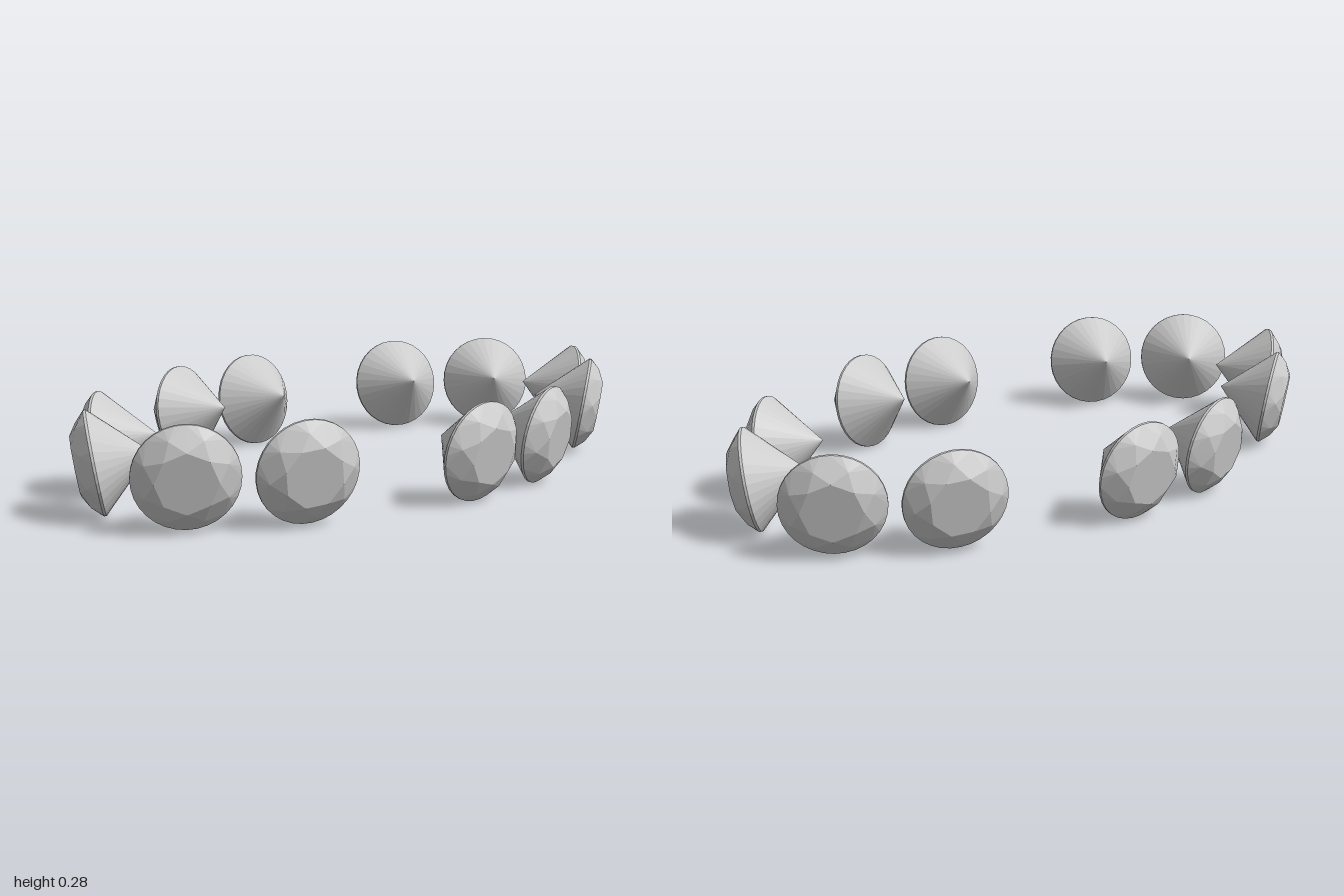
import * as THREE from 'three';
import { ConvexGeometry } from 'three/addons/geometries/ConvexGeometry.js';

// Ring of points around the gem axis (local +y points out through the table)
function ring(count, radius, y, offset = 0) {
  return Array.from({ length: count }, (_, i) => {
    const a = ((i + offset) / count) * Math.PI * 2;
    return new THREE.Vector3(radius * Math.cos(a), y, radius * Math.sin(a));
  });
}

// Round brilliant cut: octagonal table, star and kite facets, thin girdle, pointed pavilion
function gemGeometry() {
  return new ConvexGeometry([
    ...ring(8, 0.08, 0.05),
    ...ring(8, 0.112, 0.031, 0.5),
    ...ring(32, 0.137, 0.004),
    ...ring(32, 0.137, -0.003),
    new THREE.Vector3(0, -0.144, 0),
  ]);
}

export function createModel() {
  const group = new THREE.Group();
  group.name = 'gemRing';
  const geometry = gemGeometry();
  const material = new THREE.MeshStandardMaterial({ color: 0xcccccc, flatShading: true });
  const tilt = THREE.MathUtils.degToRad(10);
  const up = new THREE.Vector3(0, 1, 0);

  // One quarter of the oval: girdle centre and the direction the table faces
  const quarter = [
    { name: 'sideGem', at: [0.522, 0.1385, 0.158], yaw: 8.5 },
    { name: 'cornerGem', at: [0.347, 0.1435, 0.666], yaw: 30 },
    { name: 'endGem', at: [0.154, 0.1435, 0.9], yaw: 45 },
  ];

  // Mirror the quarter to all four sides; every gem faces outward and slightly down
  for (const { name, at, yaw } of quarter) {
    const a = THREE.MathUtils.degToRad(yaw);
    for (const sx of [1, -1]) {
      for (const sz of [1, -1]) {
        const gem = new THREE.Mesh(geometry, material);
        gem.name = `${name}${sz > 0 ? 'Front' : 'Back'}${sx > 0 ? 'Left' : 'Right'}`;
        gem.position.set(sx * at[0], at[1], sz * at[2]);
        const outward = new THREE.Vector3(
          sx * Math.cos(tilt) * Math.cos(a),
          -Math.sin(tilt),
          sz * Math.cos(tilt) * Math.sin(a)
        );
        gem.quaternion.setFromUnitVectors(up, outward);
        group.add(gem);
      }
    }
  }
  return group;
}
